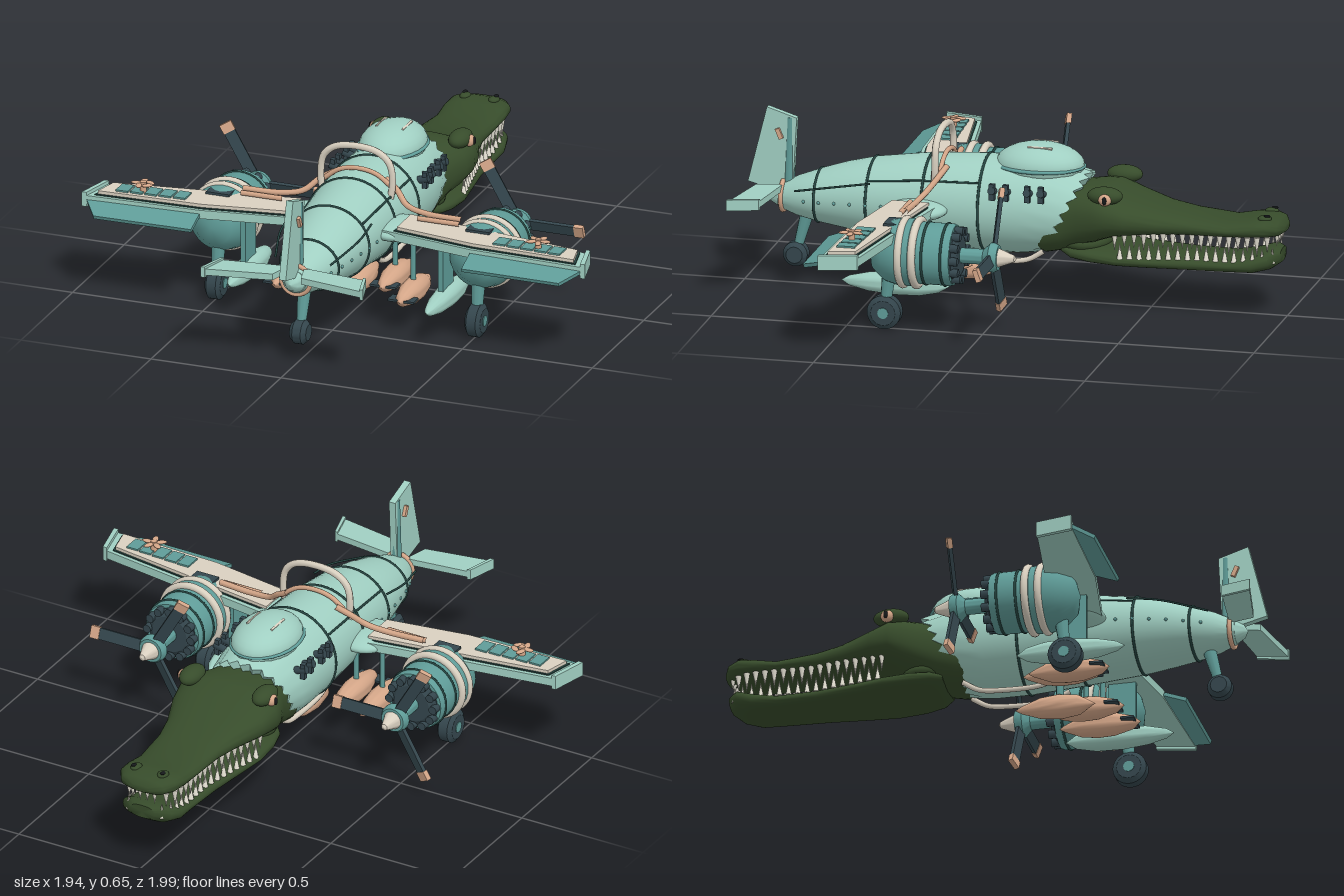
import * as THREE from 'three';
import { toCreasedNormals } from 'three/addons/utils/BufferGeometryUtils.js';

const mat = (name, color) => Object.assign(new THREE.MeshStandardMaterial({ color }), { name });
const V = (x, y, z) => new THREE.Vector3(x, y, z);

export function createModel() {
  const mint = mat('mint paint', 0xa0cfc2), teal = mat('teal metal', 0x5f9c98), slate = mat('slate rubber', 0x34464d);
  const line = mat('dark seam', 0x24433f), beige = mat('beige metal', 0xd9d0c0), peach = mat('peach copper', 0xd4a688);
  const green = mat('reptile green', 0x374c2b), ivory = mat('ivory tooth', 0xeae6d8), black = mat('black pupil', 0x15181a);
  const root = new THREE.Group();
  root.name = 'reptilePlane';

  const add = (name, geo, m, x = 0, y = 0, z = 0, parent = root) => {
    const mesh = new THREE.Mesh(geo, m);
    mesh.name = name;
    mesh.position.set(x, y, z);
    parent.add(mesh);
    return mesh;
  };
  const box = (w, h, d) => new THREE.BoxGeometry(w, h, d);
  const ball = (x, y, z) => new THREE.SphereGeometry(1, 24, 16).scale(x, y, z);
  // turned part along z, profile as [radius, z] with z rising
  const turned = (pts, n = 28) => toCreasedNormals(
    new THREE.LatheGeometry(pts.map(p => new THREE.Vector2(...p)), n).rotateX(Math.PI / 2), 0.6);
  const tube = (pts, r, closed = false, n = 40) =>
    new THREE.TubeGeometry(new THREE.CatmullRomCurve3(pts.map(p => V(...p)), closed), n, r, 8, closed);
  // straight rod between two points
  const rod = (a, b, r1, r2 = r1, n = 10) => {
    const d = b.clone().sub(a), g = new THREE.CylinderGeometry(r2, r1, d.length(), n);
    g.applyQuaternion(new THREE.Quaternion().setFromUnitVectors(V(0, 1, 0), d.clone().normalize()));
    return g.translate(...a.clone().add(b).multiplyScalar(0.5).toArray());
  };
  // flat plate lying in xz
  const plate = (pts, h, s = 1) => new THREE.ExtrudeGeometry(
    new THREE.Shape(pts.map(([x, z]) => new THREE.Vector2(x * s, -z))), { depth: h, bevelEnabled: false }).rotateX(-Math.PI / 2);
  // skin over sections [z, halfWidth, bottom, top, shear, zigzag], z falling
  const loft = (secs, n = 36, p = 1) => {
    const pos = [], idx = [], e = v => Math.sign(v) * Math.abs(v) ** p;
    for (const [z, w, b, t, shear = 0, zig = 0] of secs) for (let j = 0; j < n; j++) {
      const a = j / n * Math.PI * 2, dy = e(Math.sin(a)) * (t - b) / 2;
      pos.push(e(Math.cos(a)) * w, (b + t) / 2 + dy, z - shear * dy - (j % 2 ? -zig : zig));
    }
    for (let i = 0; i < secs.length - 1; i++) for (let j = 0; j < n; j++) {
      const a = i * n + j, b = i * n + (j + 1) % n;
      idx.push(a, a + n, b, b, a + n, b + n);
    }
    [0, secs.length - 1].forEach((i, end) => {
      const [z, , b, t] = secs[i], c = pos.length / 3;
      pos.push(0, (b + t) / 2, z);
      for (let j = 0; j < n; j++) {
        const u = i * n + j, v = i * n + (j + 1) % n;
        end ? idx.push(c, v, u) : idx.push(c, u, v);
      }
    });
    const g = new THREE.BufferGeometry();
    g.setAttribute('position', new THREE.Float32BufferAttribute(pos, 3));
    g.setIndex(idx);
    return toCreasedNormals(g, 0.9);
  };
  const sample = (secs, z) => {
    const i = Math.max(1, secs.findIndex(s => s[0] <= z)), a = secs[i - 1], b = secs[i];
    return a.slice(0, 4).map((v, k) => v + (b[k] - v) * (z - a[0]) / (b[0] - a[0]));
  };

  // Fuselage with seams and canopy
  const hull = [[0.87, 0.045, 0.28, 0.365], [0.8, 0.083, 0.255, 0.4], [0.72, 0.112, 0.238, 0.43], [0.62, 0.134, 0.222, 0.462], [0.52, 0.15, 0.208, 0.486],
    [0.31, 0.168, 0.19, 0.515], [0.1, 0.175, 0.175, 0.527], [-0.05, 0.175, 0.175, 0.525, 0.2], [-0.13, 0.172, 0.18, 0.51, 0.35], [-0.2, 0.158, 0.195, 0.485, 0.5, 0.014]];
  add('fuselage', loft(hull, 40), mint);
  for (const z of [0.1, 0.31, 0.52, 0.72]) {
    const [, w, b, t] = sample(hull, z), pts = [];
    for (let i = 0; i < 20; i++) {
      const a = i / 20 * Math.PI * 2;
      pts.push([Math.cos(a) * w, (b + t) / 2 + Math.sin(a) * (t - b) / 2, z]);
    }
    add('hullSeam', tube(pts, 0.005, true, 60), line);
  }
  add('tailRing', new THREE.TorusGeometry(0.056, 0.009, 8, 24), peach, 0, 0.325, 0.855);
  add('tailCone', turned([[0.042, 0], [0.025, 0.03], [0, 0.045]]), mint, 0, 0.323, 0.868);
  add('canopy', ball(0.118, 0.08, 0.162), mint, 0, 0.505, -0.09);
  add('canopyRim', ball(0.126, 0.02, 0.17), teal, 0, 0.502, -0.088);
  for (const s of [1, -1]) {
    add('canopySlit', box(0.008, 0.006, 0.09), beige, s * 0.05, 0.576, -0.1).rotation.z = -s * 0.35;
    // exhausts, cables and rivets along the side
    for (const z of [0.045, -0.005, -0.085, -0.135]) {
      add('exhaust', rod(V(s * 0.135, 0.43, z), V(s * 0.19, 0.445, z), 0.014), slate);
      add('exhaustTip', box(0.018, 0.06, 0.02), slate, s * 0.177, 0.438, z);
    }
    add('sideCable', tube([[s * 0.15, 0.43, 0.5], [s * 0.15, 0.41, 0.62], [s * 0.105, 0.37, 0.79]], 0.004), line);
    add('sideSeam', tube([0.1, 0.2, 0.31, 0.42, 0.52].map(z => {
      const [, w, b, t] = sample(hull, z);
      return [s * w * 0.8, (b + t) / 2 + (t - b) * 0.3, z];
    }), 0.004), line);
    for (let i = 0; i < 7; i++) {
      const z = 0.4 + i * 0.06, [, w, b, t] = sample(hull, z);
      add('rivet', ball(0.006, 0.006, 0.006), teal, s * w, (b + t) / 2, z);
    }
  }

  // Reptile head
  add('upperJaw', loft([[-0.06, 0.13, 0.22, 0.4], [-0.13, 0.15, 0.192, 0.42], [-0.2, 0.152, 0.205, 0.445], [-0.26, 0.168, 0.23, 0.45], [-0.32, 0.193, 0.25, 0.455], [-0.37, 0.204, 0.27, 0.452],
    [-0.44, 0.19, 0.284, 0.42], [-0.55, 0.148, 0.29, 0.387], [-0.65, 0.125, 0.294, 0.37], [-0.8, 0.117, 0.297, 0.354], [-0.88, 0.12, 0.299, 0.37],
    [-0.94, 0.115, 0.302, 0.377], [-0.98, 0.09, 0.308, 0.365], [-1, 0.04, 0.32, 0.345]], 36, 0.8), green);
  add('lowerJaw', loft([[-0.19, 0.1, 0.205, 0.235], [-0.23, 0.135, 0.186, 0.243], [-0.3, 0.152, 0.176, 0.242], [-0.4, 0.155, 0.17, 0.234], [-0.5, 0.138, 0.167, 0.227],
    [-0.65, 0.115, 0.165, 0.222], [-0.8, 0.107, 0.165, 0.222], [-0.89, 0.112, 0.167, 0.24], [-0.95, 0.1, 0.182, 0.262], [-0.985, 0.05, 0.205, 0.255]], 36, 0.8), green);
  add('jawHinge', ball(0.13, 0.05, 0.1), green, 0, 0.245, -0.26);
  const jawWidth = z => z > -0.65 ? 0.1 + (z + 0.65) * 0.2 : z > -0.9 ? 0.098 : 0.098 + (z + 0.9) * 0.5;
  for (const s of [1, -1]) {
    add('brow', ball(0.04, 0.032, 0.065), green, s * 0.15, 0.445, -0.365);
    add('eye', ball(0.018, 0.022, 0.024), peach, s * 0.183, 0.438, -0.372);
    add('pupil', ball(0.006, 0.015, 0.008), black, s * 0.2, 0.439, -0.374);
    add('nostril', ball(0.02, 0.012, 0.025), green, s * 0.055, 0.372, -0.93);
    add('nostrilHole', ball(0.009, 0.005, 0.012), black, s * 0.06, 0.383, -0.94);
    for (let i = 0; i < 17; i++) {
      const z = -0.4 - i * 0.034, big = i % 3 ? 0.058 : 0.07;
      add('upperTooth', new THREE.ConeGeometry(0.012, big, 8).rotateX(Math.PI), ivory, s * jawWidth(z), 0.31 - big / 2, z);
      add('lowerTooth', new THREE.ConeGeometry(0.011, 0.06, 8), ivory, s * (jawWidth(z) - 0.008), 0.242, z - 0.017);
    }
  }
  for (const x of [-0.045, -0.015, 0.015, 0.045])
    add('frontTooth', new THREE.ConeGeometry(0.011, 0.05, 8).rotateX(Math.PI), ivory, x, 0.295, -0.972);

  // Wings, engines, gear and stores
  for (const s of [1, -1]) {
    const wing = new THREE.Group();
    wing.name = s > 0 ? 'leftWing' : 'rightWing';
    root.add(wing);
    const put = (n, g, m, x = 0, y = 0, z = 0) => add(n, g, m, s * x, y, z, wing);
    put('wingPlate', plate([[0.1, 0.225], [0.3, 0.26], [0.92, 0.355], [0.955, 0.49], [0.52, 0.475], [0.1, 0.405]], 0.032, s), mint, 0, 0.345);
    put('panelEdge', plate([[0.2, 0.262], [0.9, 0.366], [0.925, 0.475], [0.52, 0.462], [0.2, 0.41]], 0.004, s), line, 0, 0.377);
    put('wingPanel', plate([[0.21, 0.268], [0.893, 0.372], [0.915, 0.468], [0.52, 0.455], [0.21, 0.404]], 0.016, s), beige, 0, 0.377);
    put('tipPlate', plate([[0.918, 0.353], [0.935, 0.355], [0.968, 0.492], [0.95, 0.492]], 0.055, s), mint, 0, 0.335);
    const flap = put('flap', plate([[0.52, 0], [0.95, 0.01], [0.895, 0.09], [0.52, 0.088]], 0.014, s), teal, 0, 0.352, 0.475);
    flap.rotation.x = 0.35;
    put('rootFairing', ball(0.1, 0.035, 0.11), mint, 0.18, 0.355, 0.32);
    for (let i = 0; i < 5; i++) put('vent', box(0.046, 0.008, 0.066), teal, 0.615 + i * 0.054, 0.395, 0.405 + i * 0.003);
    // flower ornament
    for (let i = 0; i < 5; i++) {
      const a = i / 5 * Math.PI * 2;
      put('petal', ball(0.021, 0.006, 0.011).rotateY(-a), peach, 0.76 + Math.cos(a) * 0.026, 0.425, 0.418 + Math.sin(a) * 0.026);
    }
    put('flowerStem', new THREE.CylinderGeometry(0.012, 0.012, 0.045, 12), peach, 0.76, 0.41, 0.418);

    // engine
    const engine = new THREE.Group();
    engine.name = 'engine';
    engine.position.set(s * 0.5, 0.29, 0);
    wing.add(engine);
    const eng = (n, g, m, x = 0, y = 0, z = 0) => add(n, g, m, x, y, z, engine);
    eng('nacelle', turned([[0, 0.1], [0.108, 0.1], [0.112, 0.11], [0.112, 0.24], [0.122, 0.25], [0.122, 0.3], [0.108, 0.35], [0.07, 0.395], [0, 0.415]], 36), teal);
    for (const z of [0.235, 0.285]) eng('cowlRing', new THREE.TorusGeometry(0.118, 0.014, 10, 40), beige, 0, 0, z);
    for (const z of [0.13, 0.2]) eng('engineBand', new THREE.TorusGeometry(0.112, 0.005, 6, 36), line, 0, 0, z);
    eng('engineFront', turned([[0, 0.078], [0.07, 0.078], [0.095, 0.095], [0.095, 0.11]]), slate);
    for (let i = 0; i < 12; i++) {
      const a = i / 12 * Math.PI * 2;
      eng('engineBolt', rod(V(0, 0, 0.07), V(0, 0, 0.11), 0.016), slate, Math.cos(a) * 0.09, Math.sin(a) * 0.09);
    }
    eng('shaft', turned([[0, -0.06], [0.045, -0.06], [0.053, -0.045], [0.053, -0.03], [0.028, -0.005], [0.028, 0.08]]), teal);
    eng('spinner', turned([[0, -0.125], [0.012, -0.118], [0.034, -0.06], [0, -0.06]]), beige);
    for (let i = 0; i < 3; i++) {
      const blade = new THREE.Group();
      blade.name = 'propellerBlade';
      blade.position.z = -0.04;
      blade.rotation.z = i * Math.PI * 2 / 3;
      engine.add(blade);
      add('bladeArm', box(0.18, 0.042, 0.014), slate, 0.13, 0, 0, blade).rotation.x = 0.35;
      add('bladeTip', box(0.036, 0.046, 0.018), peach, 0.236, 0, 0, blade).rotation.x = 0.35;
    }
    put('nacelleTail', box(0.09, 0.016, 0.05), slate, 0.5, 0.394, 0.33);

    // main wheel
    put('mainStrut', rod(V(0, 0.07, 0.36), V(0, 0.24, 0.34), 0.018, 0.028), teal, 0.5);
    put('mainWheel', turned([[0, -0.03], [0.045, -0.03], [0.062, -0.018], [0.062, 0.018], [0.045, 0.03], [0, 0.03]]).rotateY(Math.PI / 2), slate, 0.5, 0.063, 0.36);
    put('wheelHub', new THREE.CylinderGeometry(0.02, 0.02, 0.066, 14).rotateZ(Math.PI / 2), teal, 0.5, 0.063, 0.36);

    // drop tank and bombs
    put('dropTank', turned([[0, 0.15], [0.025, 0.19], [0.04, 0.26], [0.042, 0.36], [0.034, 0.45], [0.018, 0.52], [0, 0.55]]), mint, 0.38, 0.135);
    put('tankPylon', box(0.02, 0.19, 0.1), teal, 0.38, 0.25, 0.36);
    const bomb = [[0, 0], [0.012, 0.02], [0.036, 0.08], [0.044, 0.14], [0.042, 0.2], [0.025, 0.27], [0, 0.3]];
    for (const [x, y, z] of [[0.24, 0.125, 0.16], [0.155, 0.155, 0.12]]) {
      put('bomb', turned(bomb), peach, x, y, z);
      put('bombFin', box(0.1, 0.008, 0.05), slate, x, y, z + 0.26);
      put('bombPylon', rod(V(x * s, y, z + 0.16), V(x * s, 0.35, z + 0.16), 0.01), teal);
    }
    put('bellyPipe', tube([[s * 0.07, 0.19, 0.24], [s * 0.07, 0.16, 0.17], [s * 0.07, 0.155, 0.02], [s * 0.07, 0.165, -0.06], [s * 0.07, 0.2, -0.12]], 0.01), beige);
    // pipes from the hull to the engine
    put('feedPipe', tube([[s * 0.1, 0.5, 0.23], [s * 0.15, 0.47, 0.25], [s * 0.2, 0.43, 0.28], [s * 0.28, 0.415, 0.295], [s * 0.42, 0.415, 0.305]], 0.011), peach);
    put('feedPipeLower', tube([[s * 0.26, 0.405, 0.325], [s * 0.42, 0.405, 0.325]], 0.01, false, 8), peach);
  }
  add('centreBomb', turned([[0, 0.055], [0.014, 0.08], [0.038, 0.15], [0.045, 0.22], [0.036, 0.29], [0, 0.35]]), peach, 0, 0.1);
  add('centrePylon', rod(V(0, 0.1, 0.22), V(0, 0.22, 0.22), 0.014), teal);
  add('overheadHoop', tube([[-0.125, 0.41, 0.27], [-0.138, 0.5, 0.265], [-0.125, 0.575, 0.265], [-0.07, 0.615, 0.265], [0.07, 0.615, 0.265],
    [0.125, 0.575, 0.265], [0.138, 0.5, 0.265], [0.125, 0.41, 0.27]], 0.013), beige);
  add('hullPipe', tube([[-0.14, 0.47, 0.25], [-0.07, 0.52, 0.25], [0, 0.533, 0.25], [0.07, 0.52, 0.25], [0.14, 0.47, 0.25]], 0.009), peach);

  // Tail: fin, elevators and wheel
  const finShape = new THREE.Shape([[0.915, 0.65], [0.805, 0.615], [0.82, 0.34], [0.87, 0.34], [0.985, 0.37]].map(([z, y]) => new THREE.Vector2(-z, y)));
  const fin = (d, k) => new THREE.ExtrudeGeometry(finShape, { depth: d, bevelEnabled: false }).translate(0, 0, -d / 2).rotateY(Math.PI / 2).scale(1, k, 1);
  add('tailFin', fin(0.026, 1), mint);
  add('finRib', rod(V(0, 0.36, 0.835), V(0, 0.615, 0.83), 0.02, 0.016), teal);
  add('finClip', box(0.05, 0.04, 0.016), peach, 0, 0.555, 0.868).rotation.x = 0.4;
  for (const s of [1, -1]) {
    add('elevator', plate([[0.03, 0.85], [0.07, 0.855], [0.275, 0.88], [0.31, 0.99], [0.055, 0.945]], 0.024, s), mint, 0, 0.348);
    add('elevatorTip', plate([[0.268, 0.878], [0.28, 0.88], [0.312, 0.992], [0.298, 0.99]], 0.04, s), mint, 0, 0.34);
  }
  add('tailStrut', rod(V(0, 0.11, 0.81), V(0, 0.28, 0.765), 0.015, 0.026), teal);
  add('tailWheel', turned([[0, -0.032], [0.03, -0.032], [0.045, -0.016], [0.045, 0.016], [0.03, 0.032], [0, 0.032]]).rotateY(Math.PI / 2), slate, 0, 0.11, 0.81);
  return root;
}
